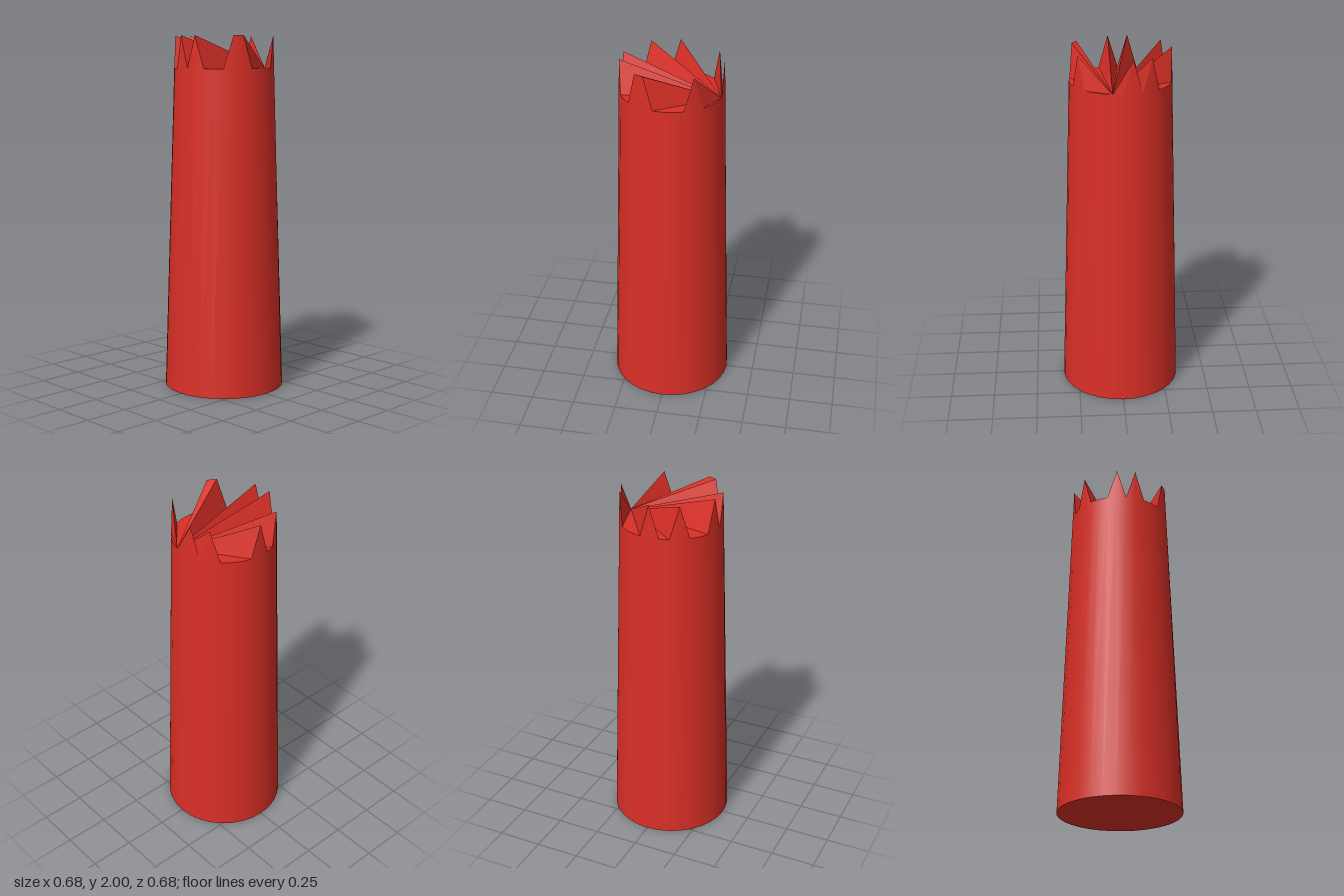
import * as THREE from 'three';

const SIDES = 32;
const TOP_RADIUS = 0.28;
const BASE_RADIUS = 0.34;
const LOW = 1.82;
const HIGH = 2;
const FAN_CORNER = 15; // low rim corner where all the splinter faces meet
const PEAKS = new Set([1, 5, 6, 11, 17, 19, 24, 27, 31]);

const rimHeight = (k) => (PEAKS.has(k % SIDES) ? HIGH : LOW);

// Rim corner k, counted from the front towards +x
function rimPoint(k) {
  const a = (k / SIDES) * Math.PI * 2;
  return [TOP_RADIUS * Math.sin(a), rimHeight(k), TOP_RADIUS * Math.cos(a)];
}

// Tapered wall with its upper ring raised and lowered into splinters
function wallGeometry() {
  const geo = new THREE.CylinderGeometry(TOP_RADIUS, BASE_RADIUS, 2, SIDES, 1, true);
  geo.translate(0, 1, 0);
  for (let k = 0; k <= SIDES; k++) geo.attributes.position.setY(k, rimHeight(k));
  return geo;
}

// Broken top: a fan of flat faces from one low corner
function brokenTopGeometry() {
  const points = [];
  for (let i = 1; i < SIDES - 1; i++) {
    points.push(
      ...rimPoint(FAN_CORNER),
      ...rimPoint(FAN_CORNER + i),
      ...rimPoint(FAN_CORNER + i + 1)
    );
  }
  const geo = new THREE.BufferGeometry();
  geo.setAttribute('position', new THREE.Float32BufferAttribute(points, 3));
  geo.computeVertexNormals();
  return geo;
}

export function createModel() {
  const red = new THREE.MeshStandardMaterial({ color: 0xd92f26 });
  red.name = 'red';

  const group = new THREE.Group();
  group.name = 'brokenColumn';
  const add = (name, geo) => {
    const mesh = new THREE.Mesh(geo, red);
    mesh.name = name;
    group.add(mesh);
  };

  add('wall', wallGeometry());
  add('brokenTop', brokenTopGeometry());
  add('base', new THREE.CircleGeometry(BASE_RADIUS, SIDES).rotateX(Math.PI / 2));
  return group;
}
